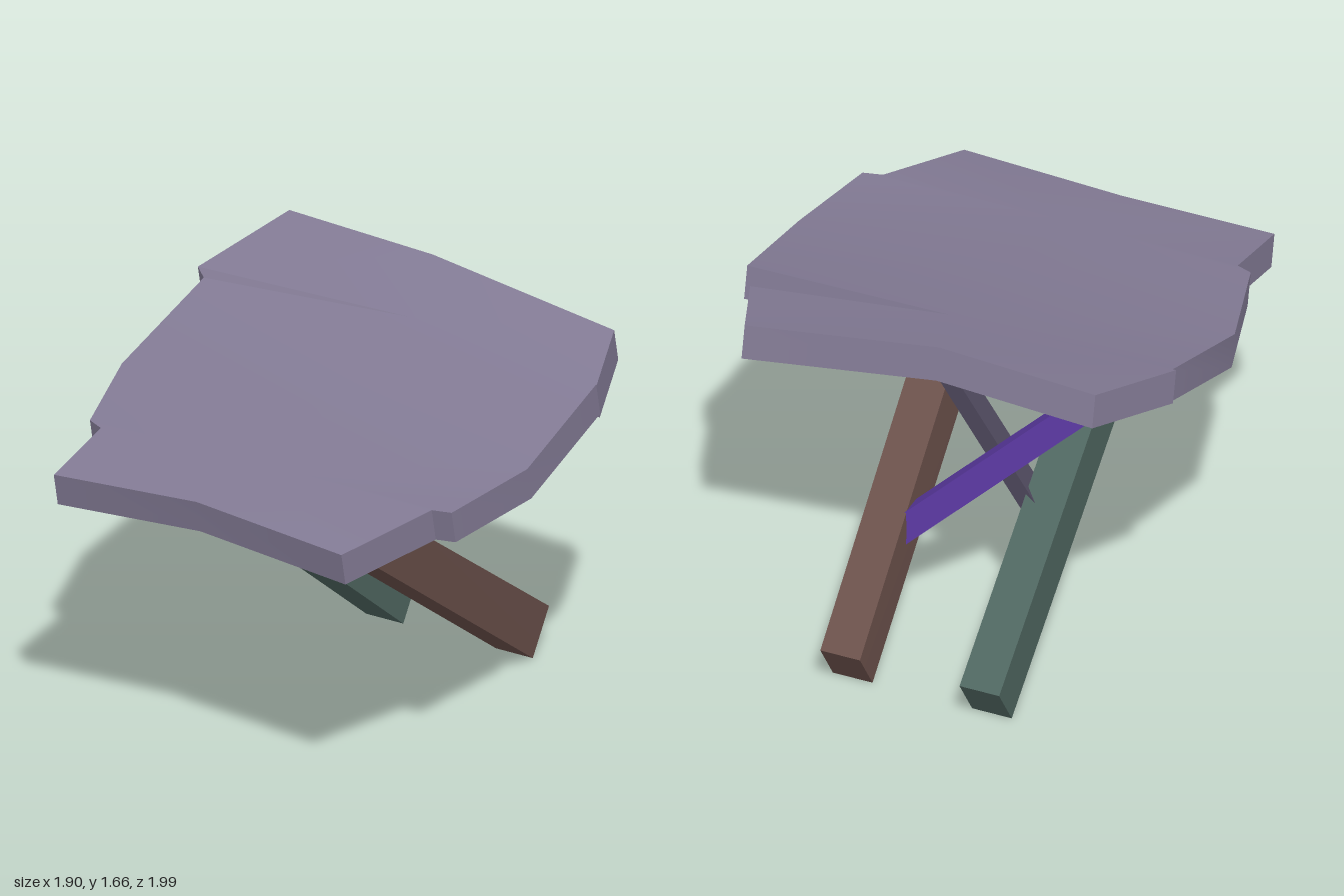
import * as THREE from 'three';
import { toCreasedNormals } from 'three/addons/utils/BufferGeometryUtils.js';

const paint = (color) => new THREE.MeshStandardMaterial({ color });

// Geometry from a list of corner points and triangles
function solid(points, triangles) {
  const geo = new THREE.BufferGeometry();
  geo.setAttribute('position', new THREE.Float32BufferAttribute(points.flat(), 3));
  geo.setIndex(triangles.flat());
  return toCreasedNormals(geo, 0.5);
}

function addMesh(group, name, geo, color) {
  const mesh = new THREE.Mesh(geo, paint(color));
  mesh.name = name;
  group.add(mesh);
  return mesh;
}

// Irregular tilted slab with a split running in from one side
function slabGeometry() {
  const rim = [
    [-0.73, 1.26, 0.96], [-0.09, 1.285, 0.92], [0.63, 1.26, 0.99],   // front edge
    [0.80, 1.34, 0.59], [0.88, 1.34, 0.57], [0.95, 1.37, 0.12],      // left side
    [0.92, 1.51, -0.44], [0.02, 1.56, -0.49], [0.88, 1.46, -0.50],   // split
    [0.74, 1.535, -0.86], [-0.10, 1.66, -0.85], [-0.80, 1.66, -0.90], // back edge
    [-0.95, 1.55, -0.46], [-0.91, 1.52, -0.44], [-0.94, 1.36, 0.12], // right side
    [-0.80, 1.33, 0.58], [-0.73, 1.325, 0.61],
  ];
  const top = [...rim, [0, 1.345, 0.59], [0.05, 1.415, 0.12]];
  const bottom = top.map(([x, y, z]) => [x, y - 0.14, z - 0.03]);
  const faces = [
    [0, 1, 17], [0, 17, 16], [1, 2, 17], [2, 3, 17], [3, 4, 17], [16, 17, 15],
    [17, 4, 5], [17, 5, 18], [15, 17, 18], [15, 18, 14], [18, 5, 6], [18, 6, 7],
    [14, 18, 7], [14, 7, 13], [13, 7, 12], [12, 7, 10], [12, 10, 11],
    [7, 8, 9], [7, 9, 10],
  ];
  const n = top.length;
  const tris = [...faces, ...faces.map(([a, b, c]) => [a + n, c + n, b + n])];
  rim.forEach((_, a) => {
    const b = (a + 1) % rim.length;
    tris.push([a, a + n, b + n], [a, b + n, b]);
  });
  return solid([...top, ...bottom], tris);
}

// Slanted beam: foot and head are centre x plus [y, z] of the lower and upper edge
function legGeometry(foot, head, width = 0.172) {
  const ring = ({ x, low, high }) => [
    [x - width / 2, ...low], [x + width / 2, ...low],
    [x + width / 2, ...high], [x - width / 2, ...high],
  ];
  const tris = [[0, 2, 1], [0, 3, 2], [4, 5, 6], [4, 6, 7]];
  for (let a = 0; a < 4; a++) {
    const b = (a + 1) % 4;
    tris.push([a, b, b + 4], [a, b + 4, a + 4]);
  }
  return solid([...ring(foot), ...ring(head)], tris);
}

// Straight bar between two points
function addBrace(group, name, from, to, width, depth, color) {
  const a = new THREE.Vector3(...from), b = new THREE.Vector3(...to);
  const geo = new THREE.BoxGeometry(width, depth, a.distanceTo(b));
  const mesh = addMesh(group, name, geo, color);
  mesh.up.set(0, 0, 1);
  mesh.position.copy(a).lerp(b, 0.5);
  mesh.lookAt(b);
}

export function createModel() {
  const group = new THREE.Group();
  group.name = 'proppedSlab';

  addMesh(group, 'slab', slabGeometry(), 0x827a94);

  // Slanted legs running from the front of the slab back to the ground
  const low = [0, -0.88], high = [0.18, -1.0];
  addMesh(group, 'leftLeg', legGeometry(
    { x: 0.262, low, high },
    { x: 0.37, low: [1.185, 0.77], high: [1.26, 0.52] }), 0x6a504a);
  addMesh(group, 'rightLeg', legGeometry(
    { x: -0.342, low, high },
    { x: -0.33, low: [1.2, 0.62], high: [1.27, 0.36] }), 0x4f6660);

  // Crossed braces between the legs and the slab
  addBrace(group, 'wideBrace', [-0.64, 1.28, -0.206], [0.28, 0.42, -0.455], 0.11, 0.1, 0x5a38a0);
  addBrace(group, 'narrowBrace', [0.56, 1.26, 0.1], [-0.3, 0.63, -0.34], 0.08, 0.09, 0x4a4458);

  return group;
}
